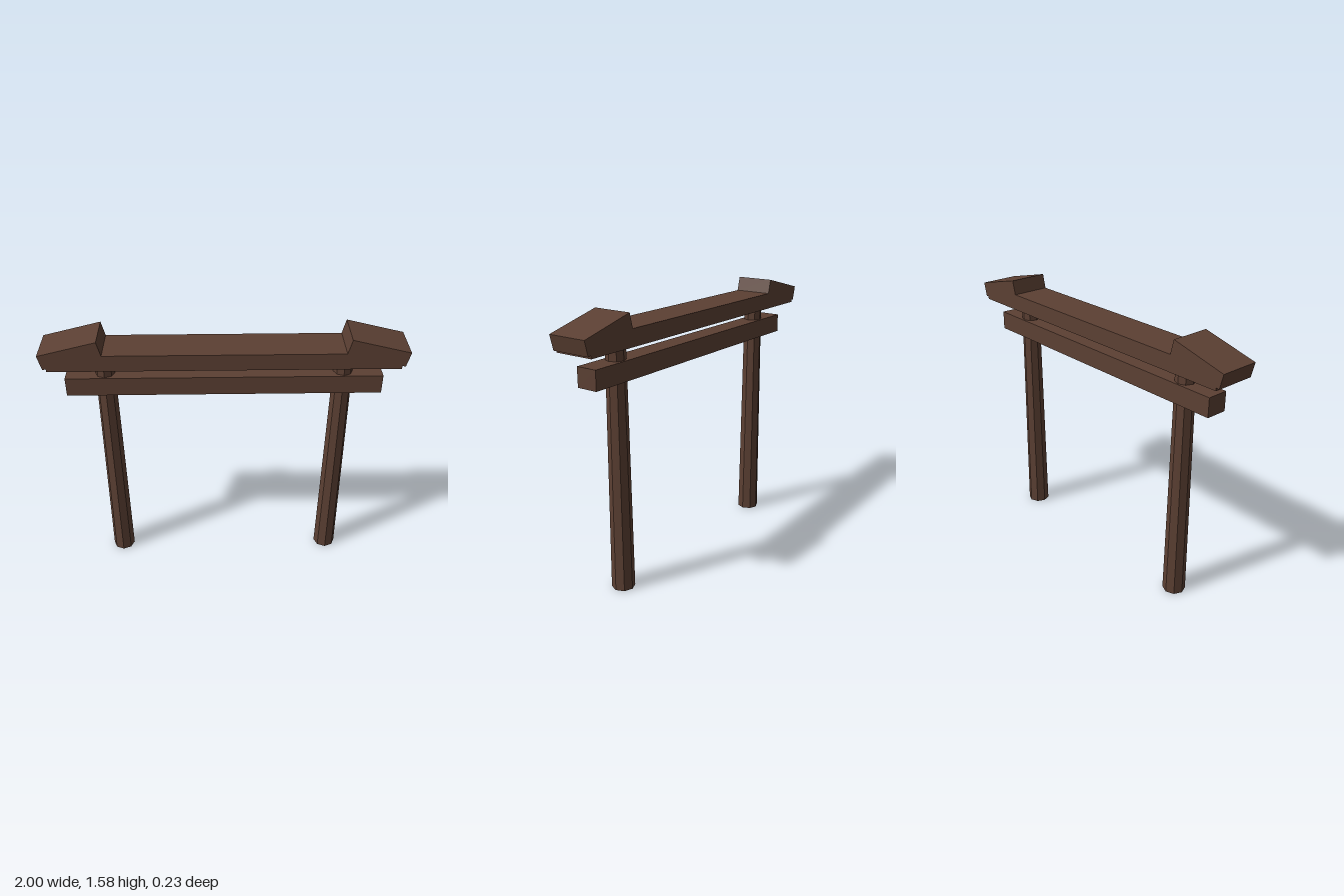
import * as THREE from 'three';

export function createModel() {
  const group = new THREE.Group();
  const wood = new THREE.MeshStandardMaterial({ color: 0x5c4033, flatShading: true });
  wood.name = 'dark brown wood';

  const add = (name, geometry, x, y, tilt = 0) => {
    const mesh = new THREE.Mesh(geometry, wood);
    mesh.name = name;
    mesh.position.set(x, y, 0);
    mesh.rotation.z = tilt;
    group.add(mesh);
  };

  // Horizontal beams
  add('topBeam', new THREE.BoxGeometry(1.92, 0.095, 0.23), 0, 1.4445);
  add('lowerBeam', new THREE.BoxGeometry(1.76, 0.11, 0.124), 0, 1.264);

  for (const [side, s] of [['left', 1], ['right', -1]]) {
    // Tapered eight-sided post
    add(side + 'Post', new THREE.CylinderGeometry(0.054, 0.066, 1.4, 8), s * 0.662, 0.7);
    // Tilted block sloping down towards the beam end
    add(side + 'EndBlock', new THREE.BoxGeometry(0.333, 0.087, 0.23), s * 0.828, 1.4925, -s * 0.245);
  }
  return group;
}
